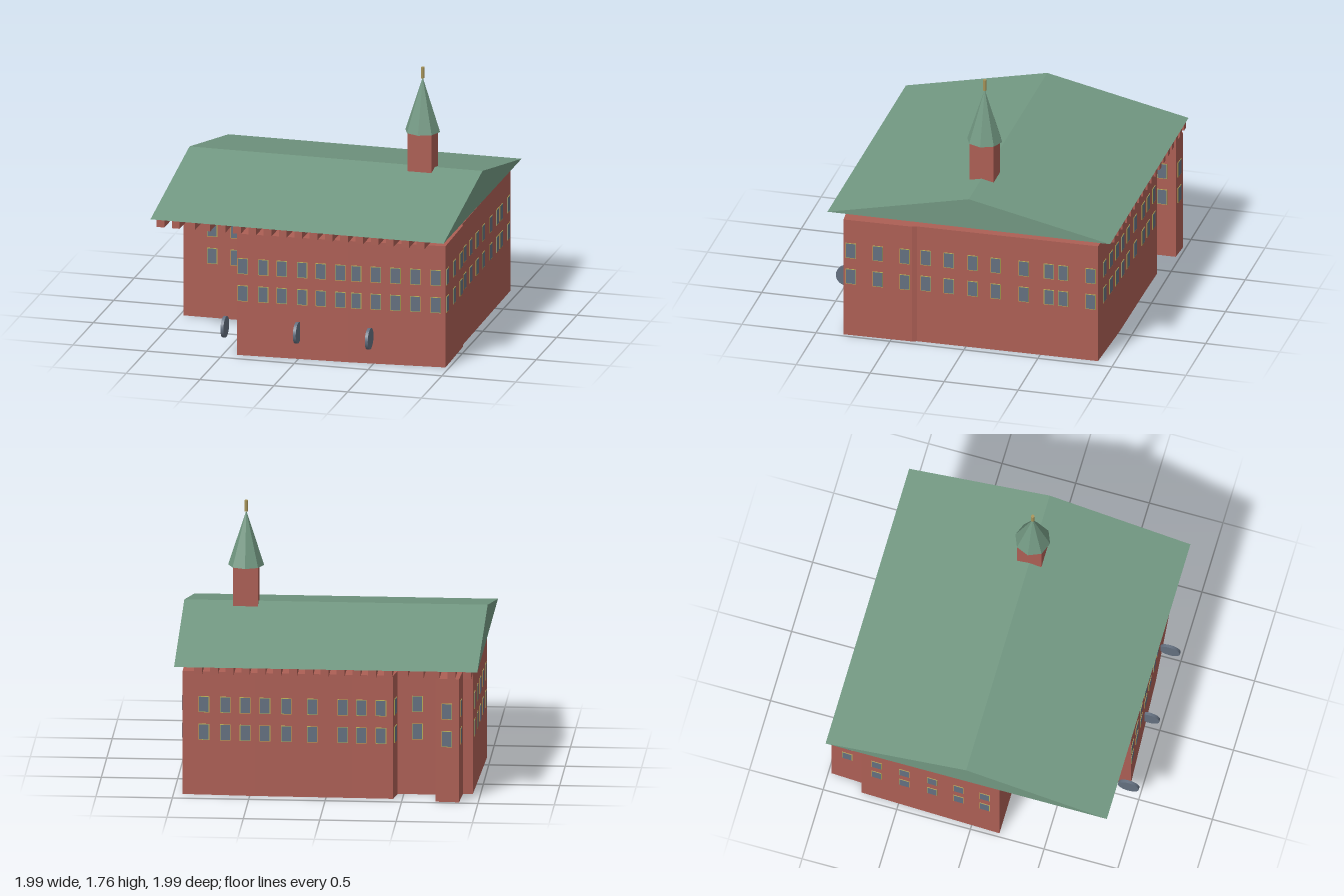
import * as THREE from 'three';

const material = (name, color) => Object.assign(new THREE.MeshStandardMaterial({ color }), { name });

// Wall corners as [x, z], going round from the front right corner
const footprint = [
  [0.975, 0.82], [0.335, 0.88], [-0.41, 0.92], [-0.46, 0.39], [-0.42, 0.37], [-0.42, 0.19],
  [-0.975, 0.19], [-0.95, -0.755], [-0.885, -0.76], [-0.875, -0.98], [-0.72, -0.972], [-0.72, -0.79],
  [-0.46, -0.79], [-0.44, -0.92], [-0.17, -0.915], [0.47, -0.91], [0.94, -0.89],
  [0.953, 0.33], [0.965, 0.36],
];

// Window positions per wall: index of the wall's first corner, axis (0 = x, 1 = z), coordinates
const windowRows = [
  [0, 0, [0.91, 0.775, 0.645, 0.515, 0.385]],
  [1, 0, [0.28, 0.15, 0.025, -0.11, -0.235, -0.37]],
  [2, 1, [0.83, 0.65, 0.47]],
  [5, 0, [-0.48, -0.62, -0.78]],
  [6, 1, [0.09, -0.09, -0.27, -0.46, -0.65]],
  [8, 1, [-0.87]],
  [9, 0, [-0.795]],
  [10, 1, [-0.88]],
  [11, 0, [-0.59]],
  [12, 1, [-0.855]],
  [13, 0, [-0.36, -0.23]],
  [14, 0, [-0.11, 0.09, 0.26, 0.4]],
  [15, 0, [0.53, 0.66, 0.8]],
  [16, 1, [-0.84, -0.655, -0.56, -0.39, -0.2, -0.045, 0.115, 0.27]],
  [18, 1, [0.41, 0.59, 0.77]],
];

export function createModel() {
  const brick = material('brick red', 0xad5f55);
  const copper = material('copper green', 0x729882);
  const slate = material('slate blue', 0x647080);
  const trim = material('yellow trim', 0xb9ae58);
  const gold = material('old gold', 0xa8955a);

  const model = new THREE.Group();
  model.name = 'building';
  const add = (parent, name, geometry, mat, x = 0, y = 0, z = 0) => {
    const mesh = new THREE.Mesh(geometry, mat);
    mesh.name = name;
    mesh.position.set(x, y, z);
    parent.add(mesh);
    return mesh;
  };

  // Walls
  const outline = new THREE.Shape(footprint.map(([x, z]) => new THREE.Vector2(x, -z)));
  const walls = new THREE.ExtrudeGeometry(outline, { depth: 0.83, bevelEnabled: false });
  add(model, 'walls', walls.rotateX(-Math.PI / 2), brick);

  // Windows: thin frame and pane, in two storeys
  const frameShape = new THREE.BoxGeometry(0.07, 0.108, 0.006);
  const paneShape = new THREE.BoxGeometry(0.062, 0.1, 0.009);
  const windows = new THREE.Group();
  windows.name = 'windows';
  model.add(windows);
  for (const [index, axis, places] of windowRows) {
    const a = footprint[index], b = footprint[(index + 1) % footprint.length];
    const turn = Math.atan2(b[1] - a[1], a[0] - b[0]);
    for (const place of places) {
      const t = (place - a[axis]) / (b[axis] - a[axis]);
      for (const y of [0.424, 0.61]) {
        const win = new THREE.Group();
        win.name = 'window';
        win.position.set(a[0] + (b[0] - a[0]) * t, y, a[1] + (b[1] - a[1]) * t);
        win.rotation.y = turn;
        add(win, 'windowFrame', frameShape, trim);
        add(win, 'windowPane', paneShape, slate);
        windows.add(win);
      }
    }
  }

  // Beams under the eaves
  const beam = new THREE.BoxGeometry(0.052, 0.05, 1.9);
  for (let i = 0; i < 18; i++) add(model, 'eavesBeam', beam, brick, -0.928 + i * 0.1036, 0.855, -0.03);

  // Gable roof
  const gable = new THREE.Shape([[-0.925, 0.88], [0.985, 0.88], [0.03, 1.088]].map(p => new THREE.Vector2(...p)));
  const roof = new THREE.ExtrudeGeometry(gable, { depth: 1.985, bevelEnabled: false });
  add(model, 'roof', roof.rotateY(Math.PI / 2), copper, -0.995);

  // Tower with spire and finial
  const tower = new THREE.Group();
  tower.name = 'tower';
  tower.position.set(0.585, 0, -0.03);
  model.add(tower);
  add(tower, 'towerShaft', new THREE.BoxGeometry(0.164, 0.5, 0.164), brick, 0, 1.08, 0);
  const spire = new THREE.ConeGeometry(0.118, 0.365, 8).toNonIndexed();
  spire.computeVertexNormals();
  add(tower, 'spire', spire, copper, 0, 1.5125, 0);
  add(tower, 'finial', new THREE.CylinderGeometry(0.012, 0.012, 0.075, 8), gold, 0, 1.7275, 0);

  // Upright discs along the front
  const disc = new THREE.CylinderGeometry(0.071, 0.071, 0.02, 24).rotateZ(Math.PI / 2);
  for (const x of [-0.49, 0, 0.488]) add(model, 'frontDisc', disc, slate, x, 0.189, 0.929);

  return model;
}
